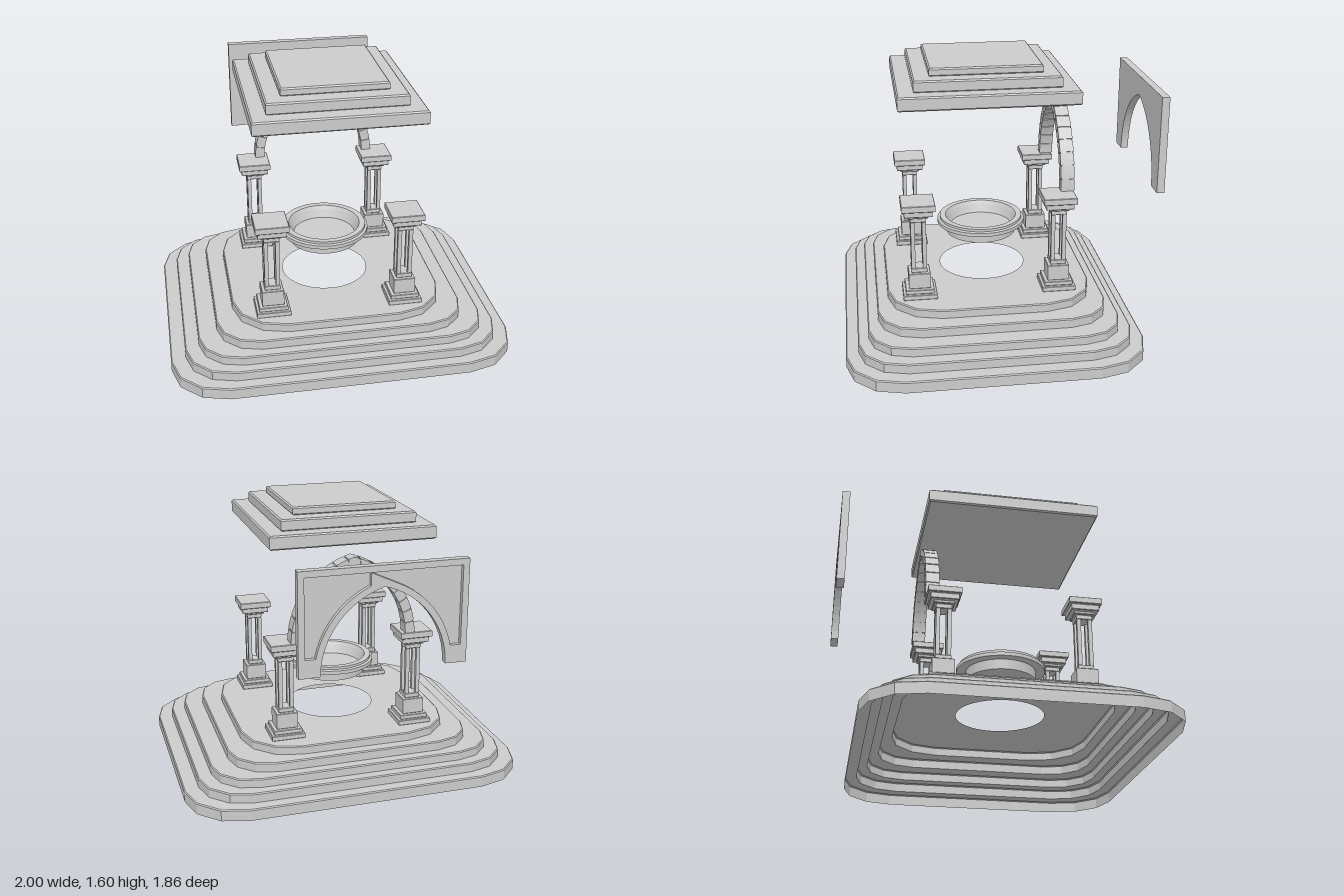
import * as THREE from 'three';

const flat = new THREE.MeshStandardMaterial({ color: 0xcccccc, flatShading: true });
const shell = new THREE.MeshStandardMaterial({ color: 0xcccccc, flatShading: true, side: THREE.DoubleSide });
const smooth = new THREE.MeshStandardMaterial({ color: 0xcccccc, side: THREE.DoubleSide });
const ZC = 0.08, XC = -0.01;

function add(parent, name, geometry, material = flat) {
  const mesh = new THREE.Mesh(geometry, material);
  mesh.name = name;
  parent.add(mesh);
  return mesh;
}

const polygon = pts => new THREE.Shape(pts.map(p => new THREE.Vector2(p[0], p[1])));

// Rectangular slab with a small chamfer, half sizes hx and hz, from y0 to y1
function slab(hx, hz, y0, y1, b = 0.005) {
  const x = hx - b, z = hz - b;
  const g = new THREE.ExtrudeGeometry(polygon([[-x, -z], [x, -z], [x, z], [-x, z]]), {
    depth: y1 - y0 - 2 * b, bevelEnabled: true, bevelSize: b, bevelThickness: b, bevelSegments: 1
  });
  return g.rotateX(-Math.PI / 2).translate(0, y0 + b, 0);
}

function box(w, h, d, x, y, z) {
  return new THREE.BoxGeometry(w, h, d).translate(x, y, z);
}

// Rectangle with three-sided rounded corners
function roundedOutline(hx, hz, r) {
  const pts = [];
  [[1, 1], [-1, 1], [-1, -1], [1, -1]].forEach(([sx, sz], q) => {
    for (let i = 0; i <= 3; i++) {
      const a = (q + i / 3) * Math.PI / 2;
      pts.push([sx * (hx - r) + r * Math.cos(a), sz * (hz - r) + r * Math.sin(a)]);
    }
  });
  return pts;
}

// Point on the pointed arch, t from -1 (left foot) to 1 (right foot)
function archPoint(t, off) {
  const c = 0.128, r = 0.468 + off;
  const a = (1 - Math.abs(t)) * Math.acos(c / r);
  return [Math.sign(t) * (r * Math.cos(a) - c), 0.86 + r * Math.sin(a)];
}

function archLine(t0, t1, off, n) {
  return Array.from({ length: n + 1 }, (_, i) => archPoint(t0 + (t1 - t0) * i / n, off));
}

// Hollow stepped platform with a round opening in the top
function buildPlatform() {
  const g = new THREE.Group();
  g.name = 'steppedPlatform';
  const steps = [ // half x, half z, corner radius, top height
    [1, 0.855, 0.315, 0.067], [0.915, 0.785, 0.27, 0.123], [0.835, 0.725, 0.24, 0.175],
    [0.725, 0.665, 0.24, 0.23], [0.62, 0.6, 0.3, 0.28]
  ];
  const b = 0.006, rings = [];
  let y = 0;
  for (const [hx, hz, r, top] of steps) {
    rings.push([roundedOutline(hx, hz, r), y], [roundedOutline(hx, hz, r), top - b],
      [roundedOutline(hx - b, hz - b, r - b), top]);
    y = top;
  }
  const pos = [], index = [], n = 16;
  rings.forEach(([pts, h], k) => {
    pts.forEach(p => pos.push(p[0], h, p[1]));
    if (k === 0) return;
    for (let i = 0; i < n; i++) {
      const a = (k - 1) * n + i, c = (k - 1) * n + (i + 1) % n;
      index.push(a, a + n, c, c, a + n, c + n);
    }
  });
  const geo = new THREE.BufferGeometry();
  geo.setAttribute('position', new THREE.Float32BufferAttribute(pos, 3));
  geo.setIndex(index);
  geo.computeVertexNormals();
  add(g, 'steps', geo, shell);

  const floor = polygon(rings[rings.length - 1][0]);
  const hole = new THREE.Path();
  hole.absarc(XC - 0.005, 0, 0.26, 0, Math.PI * 2, true);
  floor.holes.push(hole);
  const floorGeo = new THREE.ShapeGeometry(floor, 24).rotateX(-Math.PI / 2).translate(0, 0.28, 0);
  add(g, 'topFloor', floorGeo, shell);
  g.position.z = 0.075;
  return g;
}

// Column: stepped base, open shaft of four posts, stepped capital
function buildColumn() {
  const g = new THREE.Group();
  g.name = 'column';
  const tiers = [
    ['plinth', 0.098, 0.28, 0.31], ['baseStep', 0.083, 0.31, 0.336], ['baseBlock', 0.063, 0.336, 0.43],
    ['shaftFoot', 0.045, 0.43, 0.458], ['shaftHead', 0.045, 0.742, 0.77],
    ['neck', 0.058, 0.77, 0.787], ['capitalStep', 0.081, 0.787, 0.822], ['capitalTop', 0.096, 0.822, 0.86]
  ];
  for (const [name, h, y0, y1] of tiers) add(g, name, slab(h, h, y0, y1, 0.003));
  for (const sx of [-1, 1]) for (const sz of [-1, 1])
    add(g, 'shaftPost', box(0.023, 0.284, 0.023, sx * 0.0325, 0.6, sz * 0.0325));
  return g;
}

// Stone arch: wedge blocks over a thin continuous core
function buildArch() {
  const g = new THREE.Group();
  g.name = 'stoneArch';
  const wedge = (t0, t1, inner, outer, depth, n) => new THREE.ExtrudeGeometry(
    polygon([...archLine(t0, t1, outer, n), ...archLine(t1, t0, inner, n)]),
    { depth, bevelEnabled: false }).translate(0, 0, -depth / 2);
  const count = 17, gap = 0.006;
  for (let i = 0; i < count; i++) {
    const t0 = -1 + 2 * i / count, t1 = t0 + 2 / count;
    add(g, 'archBlock', wedge(t0 + gap, t1 - gap, -0.028, 0.028, 0.08, 2));
  }
  add(g, 'archCore', wedge(-1, 1, -0.023, 0.023, 0.07, 34));
  g.position.set(XC, 0, -0.382);
  return g;
}

// Detached spandrel wall, flat in front and framed behind
function buildWall() {
  const g = new THREE.Group();
  g.name = 'archWall';
  const h = 0.463, top = 1.43;
  const outline = () => polygon([[-h, 0.858], ...archLine(-1, 1, 0.005, 24), [h, 0.858], [h, top], [-h, top]]);
  add(g, 'wallFace', new THREE.ExtrudeGeometry(outline(), { depth: 0.02, bevelEnabled: false })
    .translate(0, 0, -0.905));
  const frame = outline();
  for (const s of [-1, 1]) {
    const pts = archLine(0.12, 0.85, 0.04, 10).map(p => [s * p[0], p[1]]);
    pts.push([s * 0.428, pts[10][1]], [s * 0.428, 1.395], [s * pts[0][0], 1.395]);
    frame.holes.push(new THREE.Path(pts.map(p => new THREE.Vector2(p[0], p[1]))));
  }
  add(g, 'wallFrame', new THREE.ExtrudeGeometry(frame, { depth: 0.025, bevelEnabled: false })
    .translate(0, 0, -0.93));
  g.position.x = -0.012;
  return g;
}

// Round basin; each straight run is its own lathe so the edges stay sharp
function buildBasin() {
  const g = new THREE.Group();
  g.name = 'basin';
  const profile = [[0, 0.492], [0.21, 0.492], [0.21, 0.553], [0.265, 0.553], [0.265, 0.575], [0.25, 0.58],
    [0.25, 0.595], [0.215, 0.595], [0.205, 0.575], [0.185, 0.525], [0, 0.525]];
  for (let i = 1; i < profile.length; i++) {
    const pts = [profile[i - 1], profile[i]].map(p => new THREE.Vector2(p[0], p[1]));
    add(g, 'basinBand', new THREE.LatheGeometry(pts, 48), smooth);
  }
  g.position.set(-0.017, 0, ZC);
  return g;
}

// Three-tier roof
function buildRoof() {
  const g = new THREE.Group();
  g.name = 'roof';
  [[0.482, 0.508, 1.41, 1.49], [0.394, 0.415, 1.488, 1.555], [0.303, 0.322, 1.553, 1.6]]
    .forEach(t => add(g, 'roofTier', slab(...t, 0.008)));
  g.position.set(XC, 0, ZC);
  return g;
}

export function createModel() {
  const model = new THREE.Group();
  model.name = 'pavilion';
  model.add(buildPlatform(), buildArch(), buildWall(), buildBasin(), buildRoof());
  for (const sx of [-1, 1]) for (const z of [0.49, -0.322]) {
    const column = buildColumn();
    column.position.set(XC + sx * 0.386, 0, z);
    model.add(column);
  }
  return model;
}
